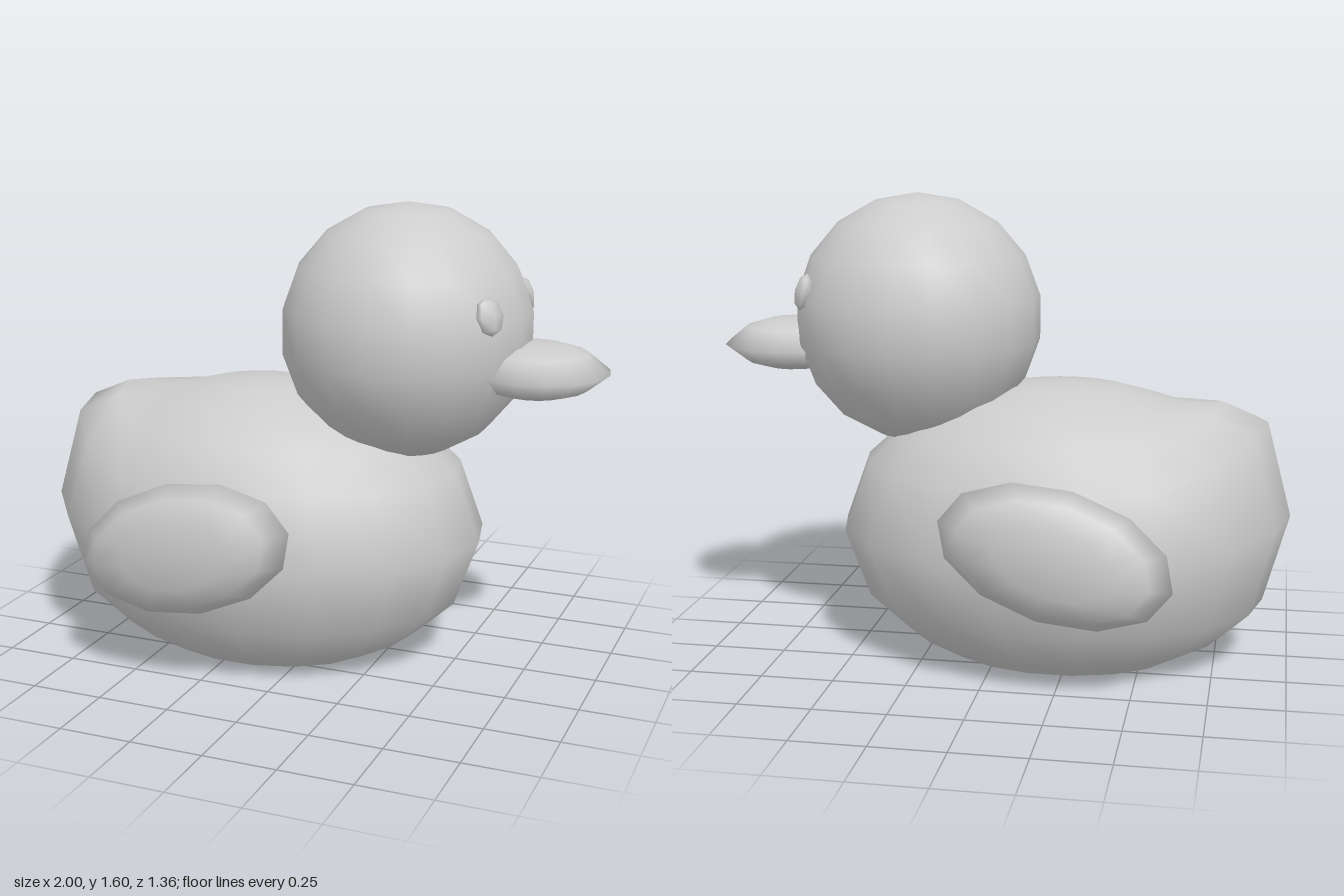
import * as THREE from 'three';
import { mergeVertices } from 'three/addons/utils/BufferGeometryUtils.js';

const rad = THREE.MathUtils.degToRad;

// Weld the seam of a revolved shape and give it continuous smooth normals
function smooth(geometry) {
  geometry.deleteAttribute('uv');
  geometry.deleteAttribute('normal');
  const welded = mergeVertices(geometry, 1e-4);
  welded.computeVertexNormals();
  return welded;
}

// Revolve a unit profile of [radius, height] pairs, listed bottom to top
function revolve(profile, segments) {
  const points = profile.map(([r, y]) => new THREE.Vector2(r, y));
  return new THREE.LatheGeometry(points, segments, Math.PI / 2);
}

export function createModel() {
  const group = new THREE.Group();
  const grey = new THREE.MeshStandardMaterial({ color: 0xcccccc });
  grey.name = 'plain grey';

  function add(name, geometry) {
    const mesh = new THREE.Mesh(geometry, grey);
    mesh.name = name;
    group.add(mesh);
    return mesh;
  }

  // Body: ellipsoid cut flat at the ground, with the rear lifted into a tail
  const centre = { x: -0.21, y: 0.44 };
  const size = { x: 0.785, y: 0.52, z: 0.605 };
  const latitudes = [-57.8, -45, -27, 0, 27, 45, 60, 75, 90];
  const body = revolve(latitudes.map((a) => [a === 90 ? 0 : Math.cos(rad(a)), Math.sin(rad(a))]), 18);
  const p = body.attributes.position;
  for (let i = 0; i < p.count; i++) {
    const u = p.getX(i);
    const y = centre.y + size.y * p.getY(i);
    const lift = 0.2 * THREE.MathUtils.smoothstep(-u, 0.45, 1) * THREE.MathUtils.smoothstep(y, 0.2, 0.8);
    p.setXYZ(i, centre.x + size.x * u, y + lift, size.z * p.getZ(i));
  }
  add('body', smooth(body));

  // Flat underside
  const cut = Math.cos(rad(latitudes[0]));
  const base = new THREE.CircleGeometry(1, 18).rotateX(Math.PI / 2);
  base.scale(size.x * cut, 1, size.z * cut);
  add('base', base).position.x = centre.x;

  // Head
  const head = new THREE.SphereGeometry(0.43, 18, 9, rad(10));
  add('head', smooth(head)).position.set(0.305, 1.167, 0);

  // Beak: a flat lens with a sharp rim
  const beak = revolve([[0, -1], [0.42, -0.93], [0.7, -0.68], [1, 0], [0.7, 0.7], [0.42, 0.95], [0, 1]], 16);
  beak.scale(0.25, 0.087, 0.245);
  add('beak', smooth(beak)).position.set(0.75, 1.065, 0);

  for (const side of [1, -1]) {
    // Eye: small bead set into the head
    const eye = new THREE.SphereGeometry(1, 6, 4);
    eye.scale(0.03, 0.063, 0.055);
    eye.rotateZ(rad(14)).rotateY(-side * rad(32));
    add('eye', smooth(eye)).position.set(0.653, 1.273, side * 0.22);

    // Wing: tilted lens, fuller on the outside
    const wing = revolve([[0, -0.045], [0.6, -0.04], [1, 0], [0.82, 0.055], [0.5, 0.09], [0, 0.096]], 12);
    wing.scale(0.39, 1, 0.225);
    wing.rotateX(side * Math.PI / 2).rotateZ(rad(15));
    add('wing', smooth(wing)).position.set(-0.26, 0.498, side * 0.585);
  }

  return group;
}
